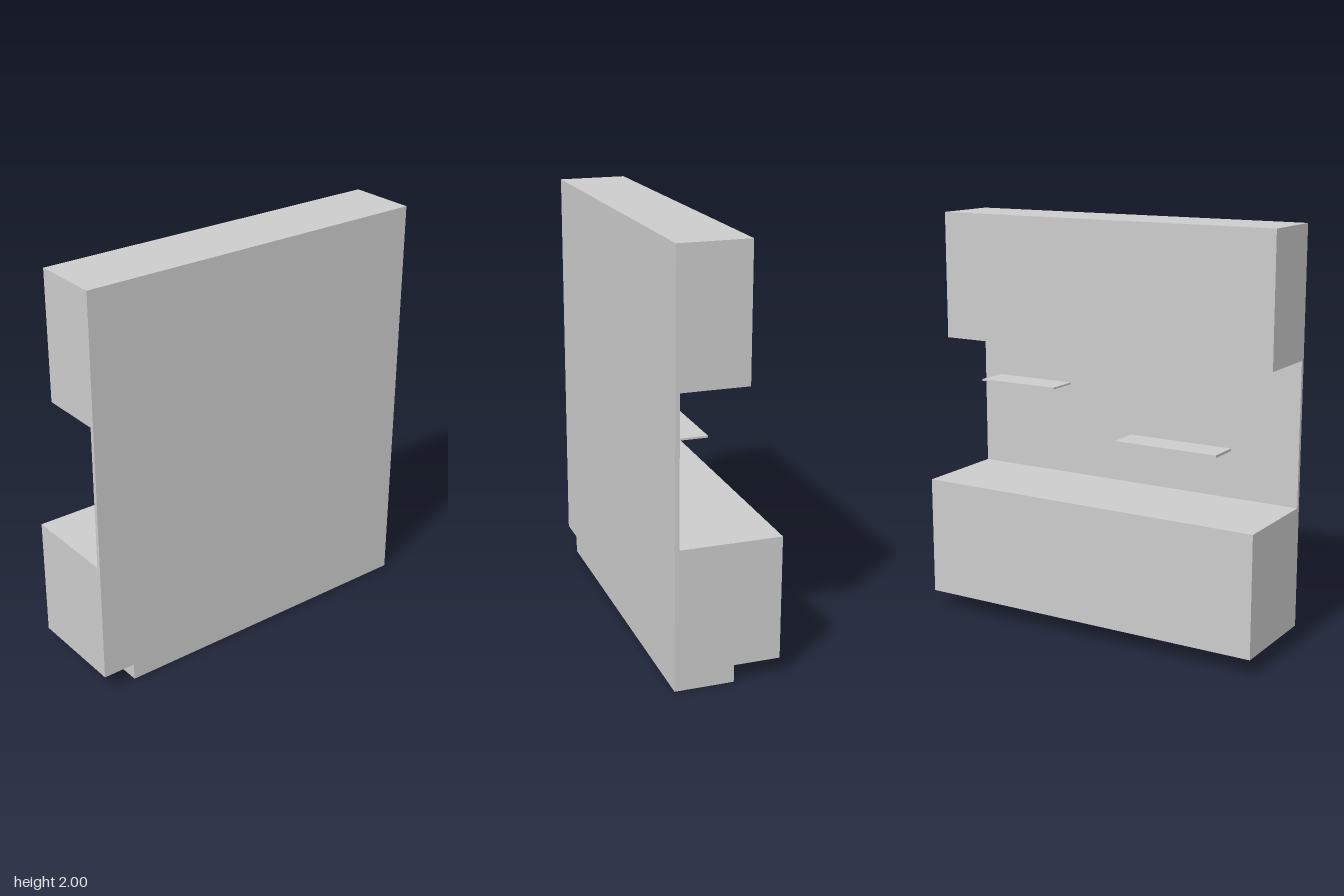
import * as THREE from 'three';

const material = new THREE.MeshStandardMaterial({ color: 0xcccccc });

// Box given by its lower and upper limits on each axis
function block(name, [x0, x1], [y0, y1], [z0, z1]) {
  const mesh = new THREE.Mesh(new THREE.BoxGeometry(x1 - x0, y1 - y0, z1 - z0), material);
  mesh.position.set((x0 + x1) / 2, (y0 + y1) / 2, (z0 + z1) / 2);
  mesh.name = name;
  return mesh;
}

export function createModel() {
  const group = new THREE.Group();
  group.name = 'kitchenUnit';

  const wall = 0.25;      // plane of the flat rear side
  const panel = 0.23;     // inner face of the thin panel
  const length = [-0.893, 0.893];

  group.add(
    // recessed plinth, set back at one end
    block('plinth', [-0.03, wall], [0, 0.083], [-0.893, 0.73]),
    // deep lower and shallow upper cabinets joined by a thin panel
    block('baseCabinet', [-0.25, wall], [0.083, 0.673], length),
    block('backPanel', [panel, wall], [0.673, 1.375], length),
    block('wallCabinet', [-0.085, wall], [1.375, 2], length),
    // two staggered shelves
    block('upperShelf', [0.07, panel], [1.135, 1.144], [-0.8, -0.365]),
    block('lowerShelf', [0.07, panel], [0.904, 0.917], [-0.01, 0.543]),
  );
  return group;
}
